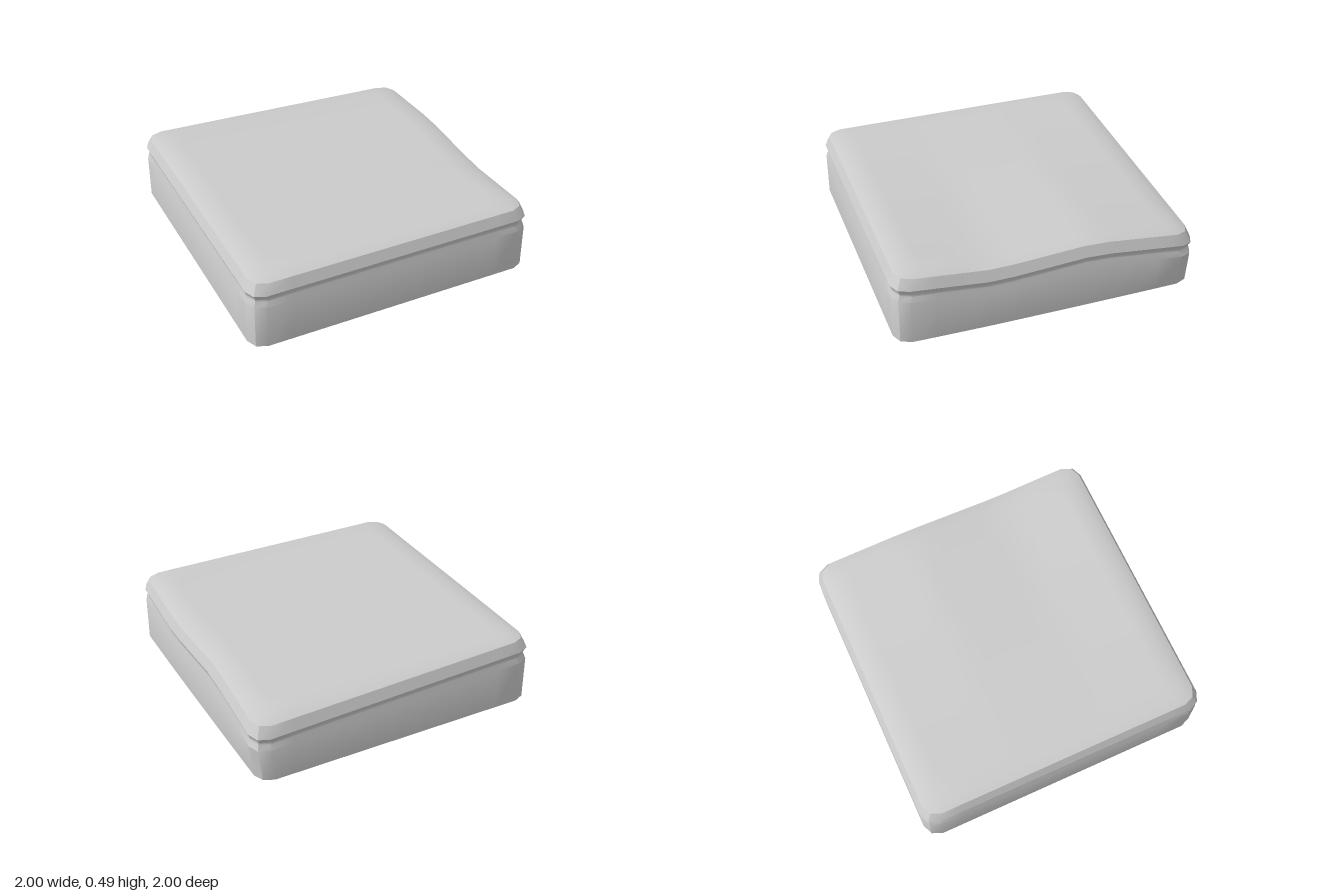
import * as THREE from 'three';
import { toCreasedNormals } from 'three/addons/utils/BufferGeometryUtils.js';

// Piecewise-linear lookup in [z, value] pairs sorted by z
function lerpTable(table, z) {
  for (let i = 1; i < table.length; i++) {
    const [z0, v0] = table[i - 1], [z1, v1] = table[i];
    if (z <= z1) return THREE.MathUtils.mapLinear(Math.max(z, z0), z0, z1, v0, v1);
  }
  return table[table.length - 1][1];
}

// How far the worn +x rim sinks, and how far it is pulled in, along z
const SINK = [[-1, 0.08], [-0.9, 0.068], [-0.31, 0.012], [0.35, 0.05], [0.9, 0]];
const PULL = [[-0.9, 0], [-0.3, 0.02], [0.35, 0.018], [0.9, 0.03]];

// Square outline with softened corners, counter-clockwise seen from above
function outline(steps = 11) {
  const side = [];
  for (let i = 0; i <= steps; i++) side.push([1, 0.9 - (1.8 * i) / steps]);
  side.push([0.97, -0.97]);
  const ring = [];
  for (let q = 0; q < 4; q++) {
    for (const [x, z] of side) {
      ring.push([[x, z], [z, -x], [-x, -z], [-z, x]][q]);
    }
  }
  return ring;
}

// Worn-edge rule applied to every vertex
function wear(x, y, z) {
  const side = (x + 1) / 2;
  const lift = Math.min(y / 0.31, 1);
  const pull = THREE.MathUtils.lerp(0.03, lerpTable(PULL, z), lift);
  const dip = 0.01 * side * (1 - z * z) * (1 - lift);
  return [x - pull * side, Math.max(0, y - lerpTable(SINK, z) * side * lift - dip), z];
}

function slabGeometry() {
  // Profile as [scale, height]: base, wall, shallow groove, bevelled lip, top
  const profile = [
    [0, 0.01], [1, 0.01], [1, 0.31], [0.985, 0.345], [0.985, 0.36],
    [1, 0.395], [0.97, 0.465], [0.9, 0.49],
  ];
  for (let i = 8; i >= 0; i--) profile.push([i * 0.1, 0.49]);

  const ring = outline(), n = ring.length;
  const positions = [], index = [];
  for (const [s, y] of profile) {
    for (const [x, z] of ring) positions.push(...wear(x * s, y, z * s));
  }
  for (let j = 0; j < profile.length - 1; j++) {
    for (let i = 0; i < n; i++) {
      const a = j * n + i, b = j * n + ((i + 1) % n);
      if (profile[j][0] > 0) index.push(a, b, b + n);
      if (profile[j + 1][0] > 0) index.push(a, b + n, a + n);
      else index.push(a, b, a + n);
    }
  }
  // The closing ring already shares its point, so drop zero-area triangles
  const geometry = new THREE.BufferGeometry();
  const clean = [];
  const p = (k) => new THREE.Vector3().fromArray(positions, k * 3);
  for (let k = 0; k < index.length; k += 3) {
    const [a, b, c] = index.slice(k, k + 3);
    const area = p(b).sub(p(a)).cross(p(c).sub(p(a))).length();
    if (area > 1e-9) clean.push(a, b, c);
  }
  geometry.setAttribute('position', new THREE.Float32BufferAttribute(positions, 3));
  geometry.setIndex(clean);
  return toCreasedNormals(geometry, 0.55);
}

export function createModel() {
  const group = new THREE.Group();
  group.name = 'stoneTile';
  const slab = new THREE.Mesh(
    slabGeometry(),
    new THREE.MeshStandardMaterial({ color: 0xcccccc })
  );
  slab.name = 'slab';
  group.add(slab);
  return group;
}
